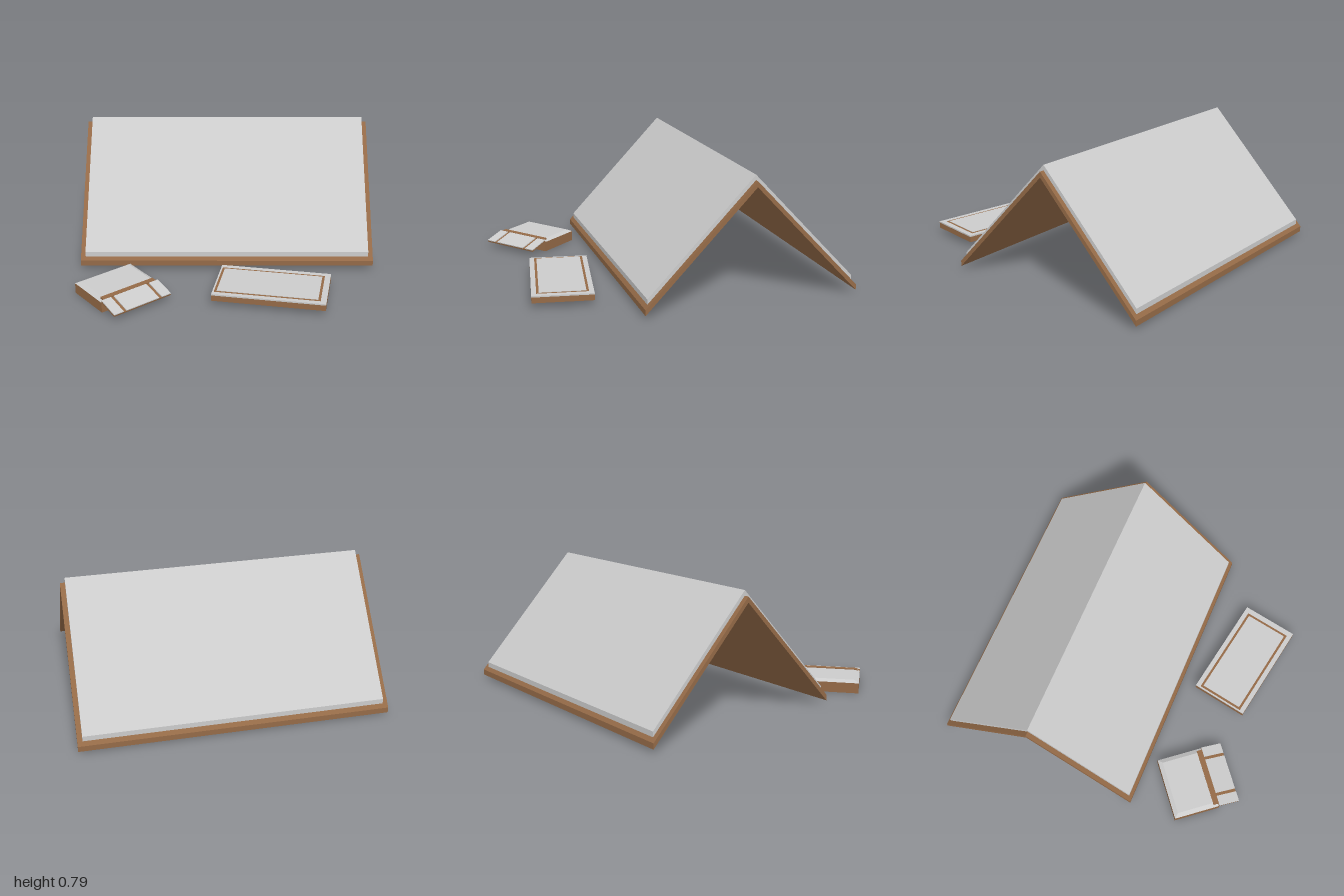
import * as THREE from 'three';

const grey = new THREE.MeshStandardMaterial({ color: 0xcccccc, flatShading: true });
const brown = new THREE.MeshStandardMaterial({ color: 0x946a47, flatShading: true });

function add(parent, name, geometry, material, x = 0, y = 0, z = 0) {
  const mesh = new THREE.Mesh(geometry, material);
  mesh.name = name;
  mesh.position.set(x, y, z);
  parent.add(mesh);
  return mesh;
}

const box = (w, h, d) => new THREE.BoxGeometry(w, h, d);

// Folded sheet: chevron profile in z and y, extruded along x
function foldedSheet(halfWidth, reach, eaveY, ridgeY, thickness) {
  const shape = new THREE.Shape([
    [-reach, eaveY], [0, ridgeY], [reach, eaveY],
    [reach, eaveY + thickness], [0, ridgeY + thickness], [-reach, eaveY + thickness],
  ].map(([z, y]) => new THREE.Vector2(z, y)));
  return new THREE.ExtrudeGeometry(shape, { depth: halfWidth * 2, bevelEnabled: false })
    .translate(0, 0, -halfWidth).rotateY(Math.PI / 2);
}

// Rectangular ring standing on y = 0; hole is [width, depth, offset in x]
function ring(w, d, h, [hw, hd, hx = 0]) {
  const rect = (Type, rw, rd, x) => new Type([
    new THREE.Vector2(x - rw / 2, -rd / 2), new THREE.Vector2(x + rw / 2, -rd / 2),
    new THREE.Vector2(x + rw / 2, rd / 2), new THREE.Vector2(x - rw / 2, rd / 2),
  ]);
  const shape = rect(THREE.Shape, w, d, 0);
  shape.holes.push(rect(THREE.Path, hw, hd, hx));
  return new THREE.ExtrudeGeometry(shape, { depth: h, bevelEnabled: false }).rotateX(-Math.PI / 2);
}

// Box whose top edge is drawn in on the left, right and back
function taperedLid(w, h, d, inset) {
  const geometry = box(w, h, d);
  const p = geometry.attributes.position;
  for (let i = 0; i < p.count; i++) {
    if (p.getY(i) < 0) continue;
    p.setX(i, p.getX(i) - Math.sign(p.getX(i)) * inset);
    if (p.getZ(i) < 0) p.setZ(i, p.getZ(i) + inset);
  }
  geometry.computeVertexNormals();
  return geometry.toNonIndexed();
}

function createTent() {
  const tent = new THREE.Group();
  tent.name = 'foldedRoof';
  tent.position.z = -0.33;
  add(tent, 'roofBoard', foldedSheet(0.93, 0.67, 0.02, 0.72, 0.035), brown);
  add(tent, 'roofCovering', foldedSheet(0.9, 0.65, 0.076, 0.755, 0.032), grey);
  return tent;
}

// Open-bottomed box with a bevelled lid and a sloping front flap
function createFlapBox() {
  const group = new THREE.Group();
  group.name = 'flapBox';
  group.position.set(-0.67, 0, 0.643);
  group.rotation.y = 0.68;
  add(group, 'boxWalls', ring(0.4, 0.3, 0.066, [0.35, 0.25]), brown);
  add(group, 'boxLid', taperedLid(0.4, 0.015, 0.3, 0.027), grey, 0, 0.0735, 0);
  add(group, 'hingeStrip', box(0.37, 0.018, 0.036), brown, 0, 0.076, 0.133);

  const flap = new THREE.Group();
  flap.name = 'frontFlap';
  flap.position.set(0, 0.077, 0.15);
  flap.rotation.x = 0.25;
  add(flap, 'flapBoard', box(0.4, 0.01, 0.14), brown, 0, -0.004, 0.07);
  // Panels leave two brown strips between them
  for (const [x, w] of [[-0.1675, 0.065], [0, 0.23], [0.1675, 0.065]]) {
    add(flap, 'flapPanel', box(w, 0.006, 0.14), grey, x, 0.004, 0.07);
  }
  group.add(flap);
  return group;
}

// Shallow inverted tray with a framed panel on top
function createTray() {
  const group = new THREE.Group();
  group.name = 'framedTray';
  group.position.set(0.274, 0.035, 0.683);
  group.rotation.y = -0.175;
  add(group, 'trayWalls', ring(0.68, 0.37, 0.036, [0.62, 0.31]), brown);
  add(group, 'trayCeiling', box(0.63, 0.012, 0.32), brown, 0, 0.03, 0);
  add(group, 'trayRim', ring(0.68, 0.37, 0.009, [0.635, 0.31, -0.0125]), grey, 0, 0.036, 0);
  add(group, 'innerFrame', ring(0.635, 0.31, 0.008, [0.605, 0.28]), brown, -0.0125, 0.036, 0);
  add(group, 'trayPanel', box(0.605, 0.012, 0.28), grey, -0.0125, 0.041, 0);
  return group;
}

export function createModel() {
  const model = new THREE.Group();
  model.name = 'roofAndBoxes';
  model.add(createTent(), createFlapBox(), createTray());
  return model;
}
